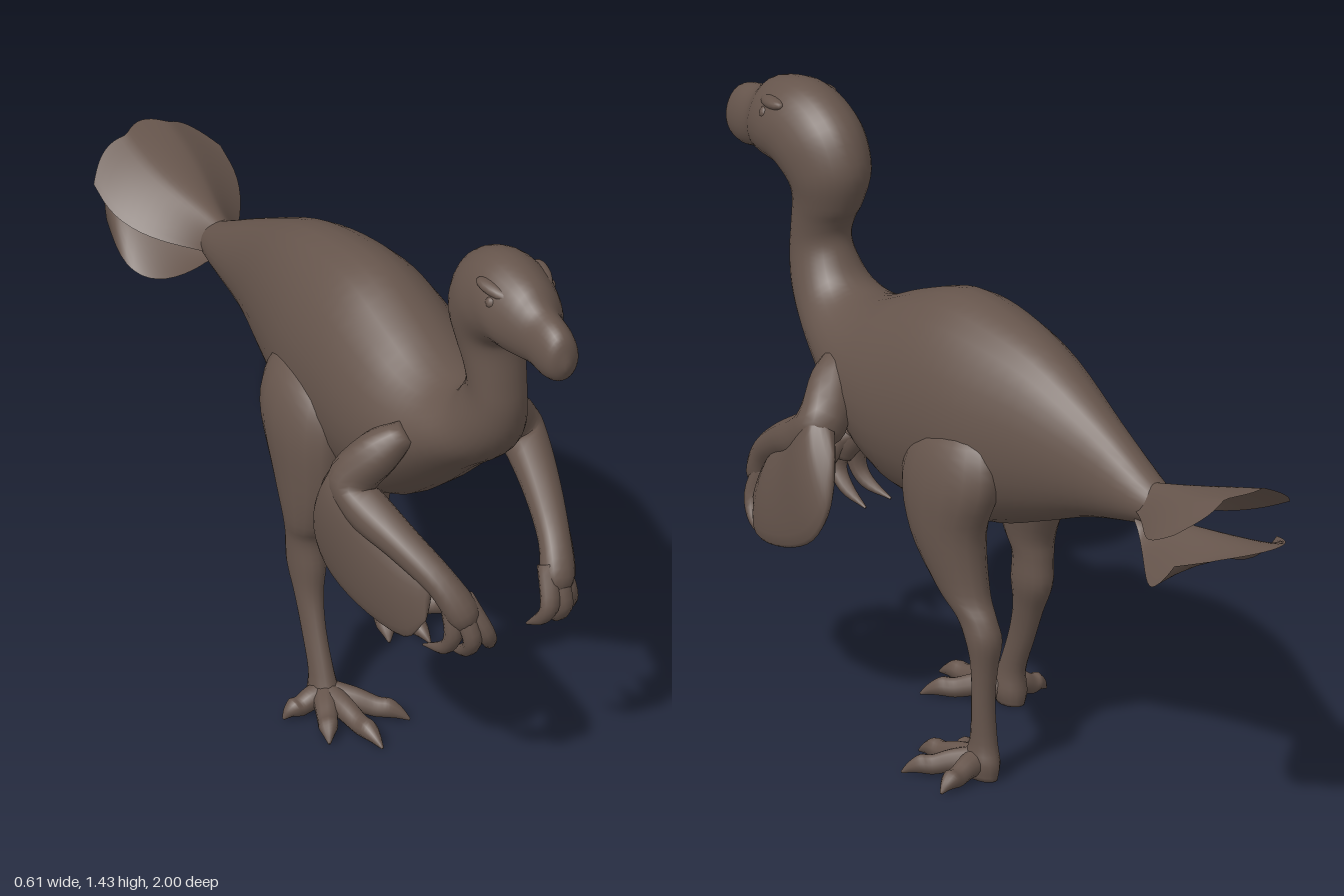
import * as THREE from 'three';

const V = (x, y, z) => new THREE.Vector3(x, y, z);
const hide = new THREE.MeshStandardMaterial({ color: 0x66554c, side: THREE.DoubleSide });
hide.name = 'brownHide';

function add(parent, geometry, name) {
  const mesh = new THREE.Mesh(geometry, hide);
  mesh.name = name;
  parent.add(mesh);
  return mesh;
}

// Smooth closed loft: each section is an oval between a top and a bottom point,
// widened by a side vector; positive egg narrows the top half, negative the bottom half
function loft(tops, bots, sides, { steps = 4, ring = 16, egg = 0 } = {}) {
  const [ct, cb, cs] = [tops, bots, sides].map(p => new THREE.CatmullRomCurve3(p, false, 'catmullrom', 0.5));
  const rows = (tops.length - 1) * steps, pos = [], idx = [], mids = [];
  let flip = false;
  for (let i = 0; i <= rows; i++) {
    const t = ct.getPoint(i / rows), b = cb.getPoint(i / rows), s = cs.getPoint(i / rows);
    const mid = t.clone().add(b).multiplyScalar(0.5), up = t.clone().sub(mid);
    mids.push(mid);
    if (i === 1) flip = up.clone().cross(s).dot(mid.clone().sub(mids[0])) < 0;
    for (let j = 0; j < ring; j++) {
      const a = j / ring * Math.PI * 2, c = Math.cos(a);
      const p = mid.clone().addScaledVector(up, c).addScaledVector(s, Math.sin(a) * (1 - egg * c));
      pos.push(p.x, p.y, p.z);
    }
  }
  const tri = (a, b, c) => (flip ? idx.push(a, c, b) : idx.push(a, b, c));
  const end = (rows + 1) * ring;
  pos.push(...mids[0].toArray(), ...mids[rows].toArray());
  for (let j = 0; j < ring; j++) {
    const k = (j + 1) % ring;
    for (let i = 0; i < rows; i++) {
      const a = i * ring + j, b = i * ring + k;
      tri(a, b, b + ring);
      tri(a, b + ring, a + ring);
    }
    tri(end, k, j);
    tri(end + 1, rows * ring + j, rows * ring + k);
  }
  const g = new THREE.BufferGeometry();
  g.setAttribute('position', new THREE.Float32BufferAttribute(pos, 3));
  g.setIndex(idx);
  g.computeVertexNormals();
  return g;
}

// Round limb through points with a radius at each
function limb(points, radii, ref, opts) {
  const tops = [], bots = [], sides = [];
  points.forEach((p, i) => {
    const dir = points[Math.min(i + 1, points.length - 1)].clone().sub(points[Math.max(i - 1, 0)]);
    const side = dir.clone().cross(ref).normalize();
    const up = side.clone().cross(dir).normalize();
    tops.push(p.clone().addScaledVector(up, radii[i]));
    bots.push(p.clone().addScaledVector(up, -radii[i]));
    sides.push(side.multiplyScalar(radii[i]));
  });
  return loft(tops, bots, sides, { steps: 4, ring: 10, ...opts });
}

// Body, neck and head: top z, top y, bottom z, bottom y, half width
const BODY = [
  [-.68, .81, -.68, .79, .008], [-.57, .85, -.57, .75, .05], [-.39, .95, -.36, .70, .085],
  [-.18, 1.055, -.2, .64, .135], [0, 1.1, -.04, .585, .175], [.15, 1.105, .14, .56, .188],
  [.3, 1.055, .3, .575, .188], [.42, 1.0, .43, .66, .17], [.5, .98, .57, .78, .135],
  [.555, 1.0, .675, .86, .1], [.59, 1.05, .73, .93, .08], [.6, 1.09, .75, 1.01, .07],
  [.585, 1.13, .745, 1.09, .072], [.56, 1.17, .735, 1.17, .08], [.535, 1.26, .745, 1.2, .092],
  [.57, 1.355, .78, 1.22, .1], [.645, 1.415, .80, 1.22, .1], [.735, 1.437, .83, 1.22, .096],
  [.835, 1.415, .86, 1.22, .077], [.89, 1.375, .89, 1.22, .056], [.95, 1.36, .94, 1.212, .049],
  [.985, 1.335, .98, 1.225, .038], [1, 1.285, 1, 1.26, .008],
];

// Legs: front z, y, back z, y, half width, distance from centre
const LEFT_LEG = [
  [.05, .87, -.05, .88, .02, .09], [.13, .8, -.12, .82, .058, .13], [.165, .7, -.145, .72, .077, .145],
  [.12, .57, -.1, .6, .073, .15], [.04, .46, -.11, .46, .055, .145], [-.03, .4, -.142, .4, .042, .145],
  [-.065, .35, -.157, .35, .042, .143], [-.085, .29, -.147, .28, .033, .145], [-.087, .2, -.143, .2, .028, .147],
  [-.075, .1, -.147, .1, .03, .143], [-.05, .05, -.16, .05, .036, .145], [-.06, .01, -.155, .01, .028, .145],
];
const RIGHT_LEG = [
  [.11, .87, .01, .88, .02, .1], [.19, .8, -.06, .82, .058, .145], [.22, .7, -.07, .72, .08, .16],
  [.215, .57, 0, .57, .07, .168], [.19, .47, .05, .47, .055, .175], [.165, .42, .055, .41, .045, .175],
  [.172, .35, .055, .34, .042, .175], [.175, .28, .09, .27, .032, .18], [.2, .2, .125, .19, .026, .185],
  [.24, .1, .165, .1, .028, .188], [.26, .05, .165, .04, .036, .188], [.25, .01, .17, .01, .028, .188],
];

function makeLeg(s, rows, ankleZ, toeTips) {
  const leg = new THREE.Group();
  add(leg, loft(
    rows.map(r => V(s * r[5], r[1], r[0])),
    rows.map(r => V(s * r[5], r[3], r[2])),
    rows.map(r => V(r[4], 0, 0))), 'thighAndShank');
  const root = V(s * rows[rows.length - 1][5], .05, ankleZ);
  for (const [x, z] of toeTips) {
    const at = (f, y) => V(root.x + (s * x - root.x) * f, y, root.z + (z - root.z) * f);
    add(leg, limb([at(0, .05), at(.35, .045), at(.6, .034), at(.75, .035), at(.88, .026), at(1, .013)],
      [.034, .028, .024, .023, .014, .003], V(0, 1, 0)), 'toe');
  }
  return leg;
}

// Arm with a feathered wing and three clawed fingers; the right one swings inward
function makeArm(s) {
  const arm = new THREE.Group();
  const P = ([x, y, z]) => (s > 0 ? V(x, y, z) : V(-(x - .2 * (.62 - y)), y, z + .03));
  const ref = V(1, 0, 0);
  add(arm, limb([[.085, .88, .47], [.15, .825, .435], [.215, .745, .4], [.22, .70, .45],
    [.195, .645, .56], [.165, .58, .66], [.147, .51, .705], [.145, .465, .71]].map(P),
  [.03, .055, .06, .053, .044, .038, .04, .02], ref, { ring: 14 }), 'armAndHand');
  const roots = [[.215, .81, .39], [.23, .79, .4], [.235, .75, .43], [.215, .69, .5], [.195, .63, .58], [.185, .57, .64]];
  const tips = [[.25, .7, .31], [.28, .58, .29], [.292, .49, .335], [.285, .435, .45], [.255, .415, .59], [.22, .48, .65]];
  add(arm, loft(roots.map(P), tips.map(P),
    [.014, .034, .04, .036, .03, .008].map(w => V(w, 0, 0)), { ring: 18, egg: -.35 }), 'wingFeathers');
  const fingers = [
    [[.13, .54, .69], [.112, .46, .73], [.1, .42, .715], [.085, .385, .67]],
    [[.145, .53, .7], [.148, .45, .73], [.152, .40, .69], [.16, .37, .62]],
    [[.16, .54, .68], [.178, .46, .70], [.195, .41, .67], [.215, .385, .6]],
  ];
  for (const f of fingers) add(arm, limb(f.map(P), [.026, .023, .017, .003], ref), 'finger');
  return arm;
}

// Roof-shaped tail fan; scallop cuts notches between the feather ends
function tailFan({ width, length, trim, scallop, y0, rise, droop }) {
  const g = new THREE.PlaneGeometry(2, 1, 28, 14), p = g.attributes.position;
  for (let i = 0; i < p.count; i++) {
    const s = p.getX(i), t = p.getY(i) + .5;
    const w = .048 + (width - .048) * Math.sin(Math.min(1, t * 1.15) * Math.PI / 2) ** 1.5;
    const reach = length - trim * s * s - scallop * (1 - Math.abs(Math.cos(s * Math.PI * 1.5)));
    p.setXYZ(i, s * w, y0 + rise * t - droop(t) * s * s, -.55 - reach * t);
  }
  g.computeVertexNormals();
  return g;
}

export function createModel() {
  const model = new THREE.Group();
  model.name = 'featheredDinosaur';

  add(model, loft(
    BODY.map(r => V(0, r[1], r[0])),
    BODY.map(r => V(0, r[3], r[2])),
    BODY.map(r => V(r[4], 0, 0)), { ring: 28, egg: .06 }), 'bodyNeckAndHead');

  // Eyes under low brow ridges
  for (const s of [1, -1]) {
    const eye = add(model, new THREE.SphereGeometry(.016, 12, 8), 'eye');
    eye.position.set(s * .076, 1.357, .785);
    const brow = add(model, new THREE.SphereGeometry(1, 14, 10), 'brow');
    brow.scale.set(.022, .016, .055);
    brow.position.set(s * .064, 1.383, .775);
    brow.rotation.set(.15, -s * .3, 0);
  }

  add(model, tailFan({ width: .17, length: .375, trim: .05, scallop: .02, y0: .845, rise: .093,
    droop: t => .085 - .03 * (1 - t) ** 3 + .02 * Math.sin(Math.PI * t) }), 'upperTailFan');
  add(model, tailFan({ width: .15, length: .45, trim: .17, scallop: 0, y0: .765, rise: .055,
    droop: t => .125 * Math.sin(Math.PI * t * .85) }), 'lowerTailFan');

  const leftLeg = makeLeg(1, LEFT_LEG, -.1, [[.085, .05], [.165, .1], [.28, .02], [.29, -.14]]);
  leftLeg.name = 'leftLeg';
  const rightLeg = makeLeg(-1, RIGHT_LEG, .22, [[.05, .37], [.17, .45], [.265, .37], [.30, .22]]);
  rightLeg.name = 'rightLeg';
  const leftArm = makeArm(1);
  leftArm.name = 'leftArm';
  const rightArm = makeArm(-1);
  rightArm.name = 'rightArm';
  model.add(leftLeg, rightLeg, leftArm, rightArm);
  return model;
}
